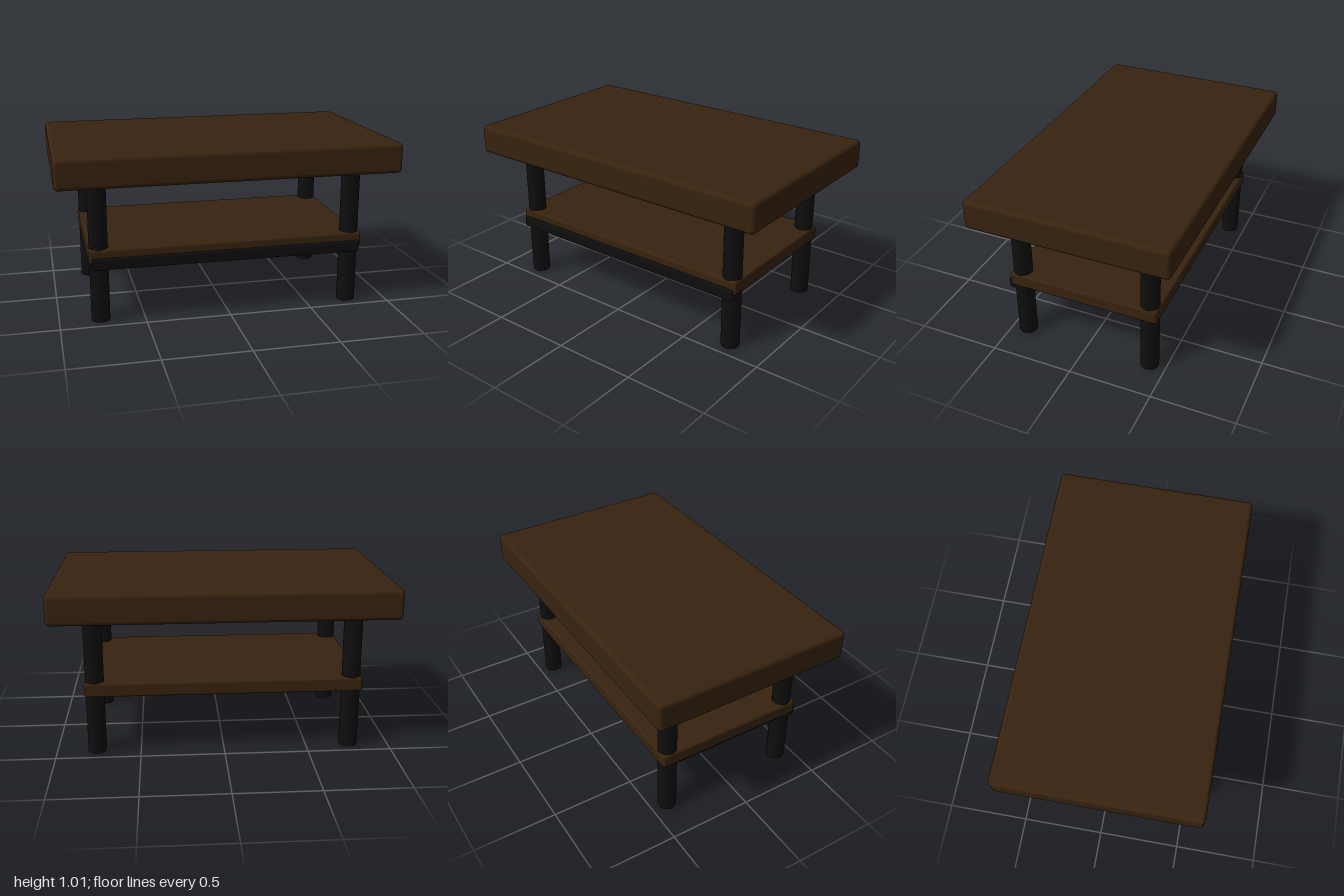
import * as THREE from 'three';
import { RoundedBoxGeometry } from 'three/addons/geometries/RoundedBoxGeometry.js';

export function createModel() {
  const table = new THREE.Group();
  table.name = 'table';

  const wood = new THREE.MeshStandardMaterial({ color: 0x38230f });
  wood.name = 'dark wood';
  const metal = new THREE.MeshStandardMaterial({ color: 0x0e0e0e });
  metal.name = 'black metal';

  const add = (name, geometry, material, x, y, z) => {
    const mesh = new THREE.Mesh(geometry, material);
    mesh.name = name;
    mesh.position.set(x, y, z);
    table.add(mesh);
  };

  // Rounded slab given by its size and vertical extent
  const slab = (name, material, w, d, y0, y1, radius, x = 0, z = 0) =>
    add(name, new RoundedBoxGeometry(w, y1 - y0, d, 4, radius), material, x, (y0 + y1) / 2, z);

  // Thick top and lower shelf
  slab('tableTop', wood, 2, 1.2, 0.835, 1.012, 0.025);
  slab('shelf', wood, 1.64, 0.92, 0.362, 0.447, 0.014);

  // Round legs with softened ends, running up into the top
  const r = 0.055, b = 0.008, h = 0.87;
  const profile = [
    [0, 0], [r - b, 0], [r - b * 0.3, b * 0.3], [r, b],
    [r, h - b], [r - b * 0.3, h - b * 0.3], [r - b, h], [0, h],
  ].map(([x, y]) => new THREE.Vector2(x, y));
  const legGeometry = new THREE.LatheGeometry(profile, 32);
  for (const [sx, side] of [[1, 'Left'], [-1, 'Right']]) {
    for (const [sz, end] of [[1, 'front'], [-1, 'back']]) {
      add(`${end}${side}Leg`, legGeometry, metal, sx * 0.76, 0, sz * 0.4);
    }
  }

  // Rails under the shelf: one along the front, one along the -x side
  slab('frontRail', metal, 1.61, 0.07, 0.33, 0.397, 0.008, 0, 0.44);
  slab('sideRail', metal, 0.07, 0.8, 0.33, 0.397, 0.008, -0.76, 0);

  return table;
}
